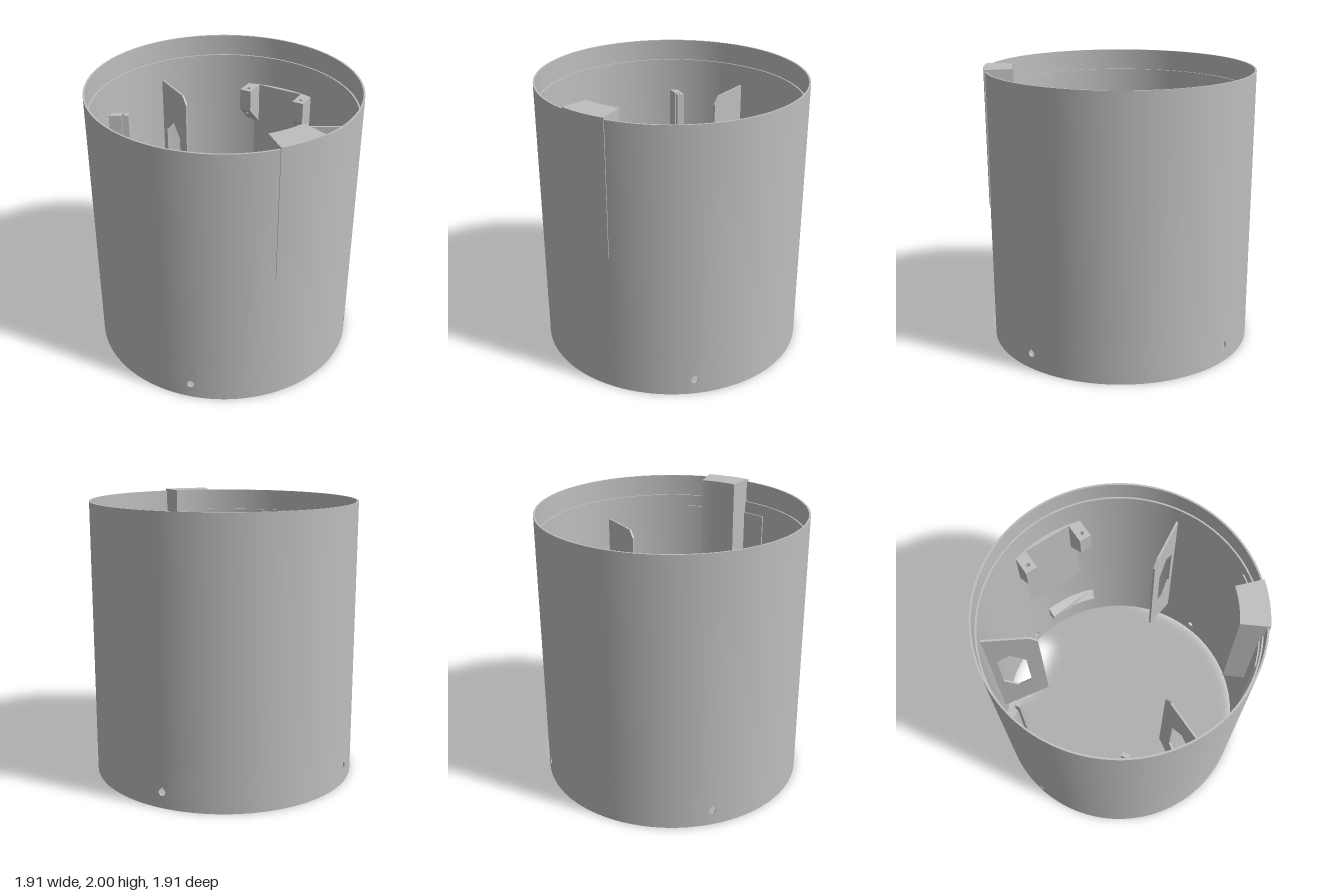
import * as THREE from 'three';
import { toCreasedNormals } from 'three/addons/utils/BufferGeometryUtils.js';

const R = 0.953, RIM = 0.94, INNER = 0.928; // outer wall, thin rim, main bore
const STEP_LOW = 0.27, STEP_HIGH = 1.83, TOP = 1.985;
const rad = THREE.MathUtils.degToRad;

// Moves every vertex by a rule, then restores the normals
function reshape(geo, rule) {
  const p = geo.attributes.position, v = new THREE.Vector3();
  for (let i = 0; i < p.count; i++) {
    rule(v.fromBufferAttribute(p, i));
    p.setXYZ(i, v.x, v.y, v.z);
  }
  return toCreasedNormals(geo, 0.5);
}

// Extrudes a plan shape upward from y0 to y1 (angles turn from +x towards -z)
function raise(shape, y0, y1, rule = () => {}) {
  const geo = new THREE.ExtrudeGeometry(shape, { depth: y1 - y0, bevelEnabled: false, curveSegments: 24 });
  geo.rotateX(-Math.PI / 2).translate(0, y0, 0);
  return reshape(geo, rule);
}

function polygon(points) {
  return new THREE.Shape(points.map(([x, y]) => new THREE.Vector2(x, y)));
}

function sector(r0, r1, from, to) {
  const s = new THREE.Shape();
  s.absarc(0, 0, r1, rad(from), rad(to), false);
  s.absarc(0, 0, r0, rad(to), rad(from), true);
  return s;
}

function lathe(points, segments, start, length) {
  const pts = points.map(([x, y]) => new THREE.Vector2(x, y));
  return toCreasedNormals(new THREE.LatheGeometry(pts, segments, start, length), 0.5);
}

// Curved wall panel pierced by a teardrop hole
function holePanel(halfAngle) {
  const w = R * halfAngle, r = 0.026, cy = 0.115;
  const s = polygon([[-w, 0], [-w / 2, 0], [0, 0], [w / 2, 0], [w, 0],
    [w, STEP_LOW], [w / 2, STEP_LOW], [0, STEP_LOW], [-w / 2, STEP_LOW], [-w, STEP_LOW]]);
  const hole = new THREE.Path();
  hole.absarc(0, cy, r, Math.PI * 0.75, Math.PI * 2.25, false);
  hole.lineTo(0, cy + r * Math.SQRT2);
  s.holes.push(hole);
  const geo = new THREE.ExtrudeGeometry(s, { depth: R - RIM, bevelEnabled: false, curveSegments: 20 });
  return reshape(geo, (v) => {
    const a = v.x / R, q = RIM + v.z;
    v.set(q * Math.sin(a), v.y, q * Math.cos(a));
  });
}

export function createModel() {
  const model = new THREE.Group();
  const body = new THREE.Group();
  body.name = 'canister';
  body.position.z = -0.003;
  model.add(body);

  const grey = new THREE.MeshStandardMaterial({ color: 0xbebebe });
  grey.name = 'grey plastic';

  const add = (name, geo, parent = body, turn = 0) => {
    const mesh = new THREE.Mesh(geo, grey);
    mesh.name = name;
    mesh.rotation.y = turn;
    parent.add(mesh);
    return mesh;
  };

  // Main tube with a stepped bore at both ends
  add('tubeWall', lathe([[R, STEP_LOW], [R, TOP], [RIM, TOP], [RIM, STEP_HIGH],
    [INNER, STEP_HIGH], [INNER, STEP_LOW], [RIM, STEP_LOW]], 144, 0, Math.PI * 2));

  // Thin lower skirt: four arcs joined by four pierced panels
  const half = rad(2.5), quarter = Math.PI / 2;
  const arc = lathe([[R, 0], [R, STEP_LOW], [RIM, STEP_LOW], [RIM, 0], [R, 0]], 34, half, quarter - half * 2);
  const panel = holePanel(half);
  for (let i = 0; i < 4; i++) {
    const turn = Math.PI / 4 + i * quarter;
    add('lowerSkirt', arc, body, turn);
    add('screwHolePanel', panel, body, turn);
  }

  // Raised block at the front, with a thin pad on the wall behind it
  add('frontBlock', raise(sector(0.763, 0.96, -100, -80), 1.03, 2));
  add('frontPad', raise(sector(0.918, 0.935, -111, -69), 0.9, 1.745));

  // Three radial fins with a six-sided window
  const finShape = polygon([[0.935, 0.28], [0.935, 1.675], [0.6, 1.675], [0.55, 1.62], [0.55, 0.67]]);
  finShape.holes.push(new THREE.Path([[0.765, 0.76], [0.87, 0.865], [0.87, 1.285],
    [0.765, 1.39], [0.66, 1.285], [0.66, 0.865]].map(([x, y]) => new THREE.Vector2(x, y))));
  const fin = new THREE.ExtrudeGeometry(finShape, { depth: 0.014, bevelEnabled: false });
  fin.translate(0, 0, -0.007);
  for (const angle of [90, 210, 330]) add('radialFin', fin, body, rad(angle));

  // Sloped ledges low on the side walls
  const slope = (v) => {
    const r = Math.hypot(v.x, v.z);
    if (v.y > 0.4 && r < 0.9) {
      v.y -= 0.07;
    }
  };
  add('rightLedge', raise(sector(0.872, 0.935, 10, 35), 0.3, 0.43, slope));
  add('leftLedge', raise(sector(0.872, 0.935, 150, 191), 0.3, 0.43, slope));

  // Pair of grooved slide rails with undercut feet
  const rails = new THREE.Group();
  rails.name = 'slideRails';
  rails.rotation.y = rad(150);
  body.add(rails);
  for (const side of [-1, 1]) {
    const outline = [[0.705, 0.372], [0.735, 0.372], [0.735, 0.405], [0.755, 0.405],
      [0.755, 0.372], [0.85, 0.372], [0.835, 0.428], [0.705, 0.428]];
    const shape = polygon(outline.map(([x, y]) => [x, y * side]));
    add('slideRail', raise(shape, 0.57, 1.58, (v) => {
      if (v.y < 1) v.y += 0.84 - v.x;
    }), rails);
  }

  // Mounting bracket: flat chord backing and two drilled tabs
  const bracket = new THREE.Group();
  bracket.name = 'mountingBracket';
  bracket.rotation.y = rad(30);
  body.add(bracket);
  const a = Math.acos(0.9 / 0.935);
  const backing = new THREE.Shape();
  backing.absarc(0, 0, 0.935, -a, a, false);
  add('bracketBacking', raise(backing, 0.8, 1.6), bracket);
  for (const y of [-0.218, 0.23]) {
    const tab = polygon([[0.75, y - 0.045], [0.905, y - 0.045], [0.905, y + 0.045], [0.75, y + 0.045]]);
    const hole = new THREE.Path();
    hole.absarc(0.8, y, 0.015, 0, Math.PI * 2, true);
    tab.holes.push(hole);
    add('bracketTab', raise(tab, 1.28, 1.6, (v) => {
      if (v.y < 1.5) v.y += 0.905 - v.x;
    }), bracket);
  }

  return model;
}
